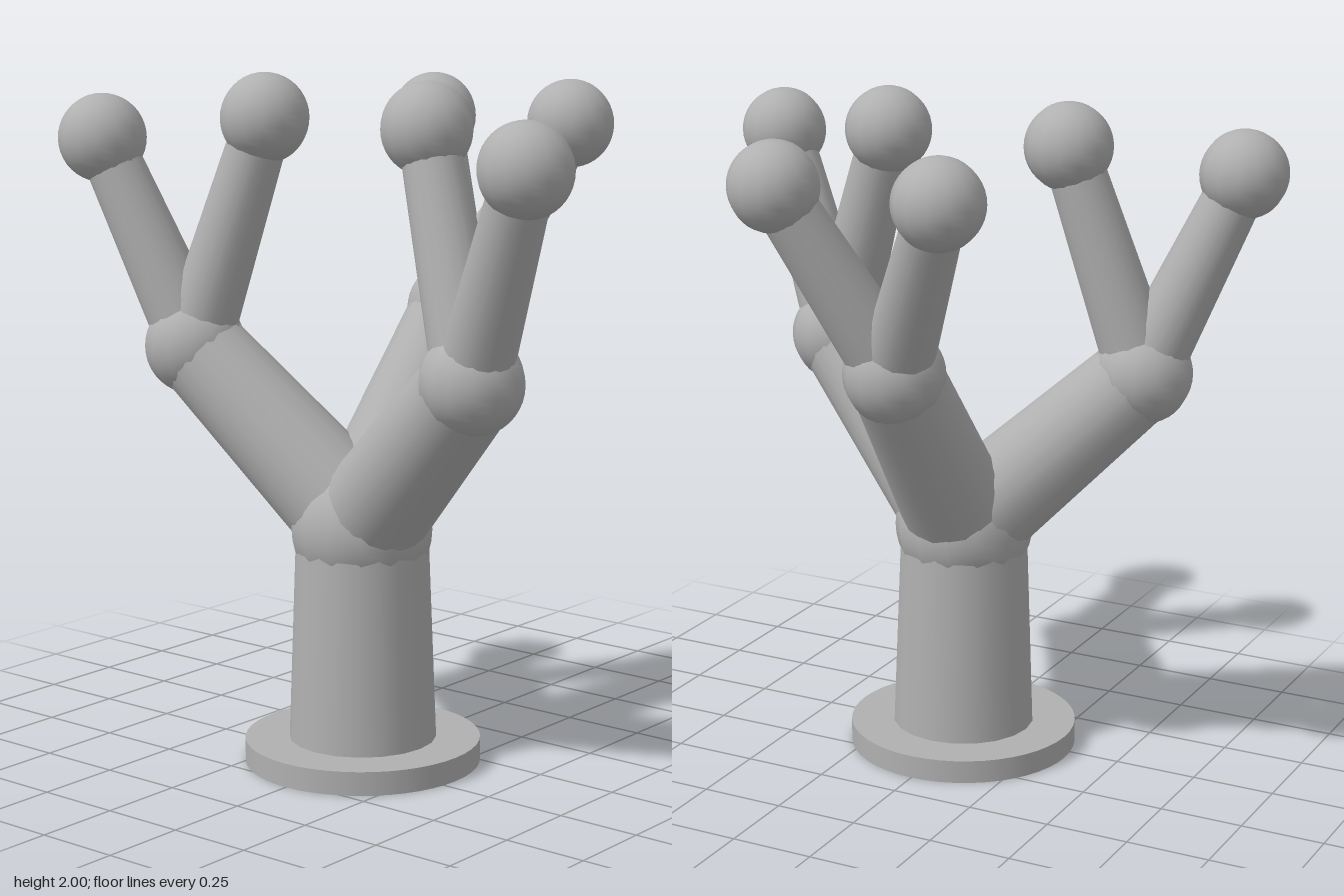
import * as THREE from 'three';

export function createModel() {
  const model = new THREE.Group();
  model.name = 'branchingStand';
  const grey = new THREE.MeshStandardMaterial({ color: 0xb0b0b0 });
  grey.name = 'plain grey';

  const add = (name, geometry, position) => {
    const mesh = new THREE.Mesh(geometry, grey);
    mesh.name = name;
    mesh.position.copy(position);
    model.add(mesh);
    return mesh;
  };

  // Tapered limb between two points
  const limb = (name, a, b, ra, rb) => {
    const dir = b.clone().sub(a);
    const mesh = add(name, new THREE.CylinderGeometry(rb, ra, dir.length(), 20), a.clone().add(b).multiplyScalar(0.5));
    mesh.quaternion.setFromUnitVectors(new THREE.Vector3(0, 1, 0), dir.normalize());
  };

  const ball = (name, p, r) => add(name, new THREE.SphereGeometry(r, 14, 20), p);
  const v = (x, y, z) => new THREE.Vector3(x, y, z);

  // Foot and trunk
  const fork = v(0, 0.7, 0.2);
  add('base', new THREE.CylinderGeometry(0.345, 0.345, 0.07, 48), v(0, 0.035, 0.2));
  limb('trunk', v(0, 0.03, 0.2), fork, 0.217, 0.192);
  ball('trunkJoint', fork, 0.208);

  // Three branches, each with a joint and two tipped twigs
  const branches = [
    { name: 'back', joint: v(0, 1.28, -0.24), tips: [v(0.255, 1.835, -0.46), v(-0.255, 1.835, -0.46)] },
  ];
  for (const [name, s] of [['left', 1], ['right', -1]]) {
    branches.push({
      name,
      joint: v(s * 0.51, 1.2, 0.35),
      tips: [v(s * 0.765, 1.8, 0.46), v(s * 0.295, 1.87, 0.275)],
    });
  }
  for (const { name, joint, tips } of branches) {
    limb(name + 'Branch', fork, joint, 0.167, 0.135);
    ball(name + 'Joint', joint, 0.148);
    tips.forEach((tip, i) => {
      limb(`${name}Twig${i + 1}`, joint, tip, 0.106, 0.082);
      ball(`${name}Tip${i + 1}`, tip, 0.13);
    });
  }
  return model;
}
